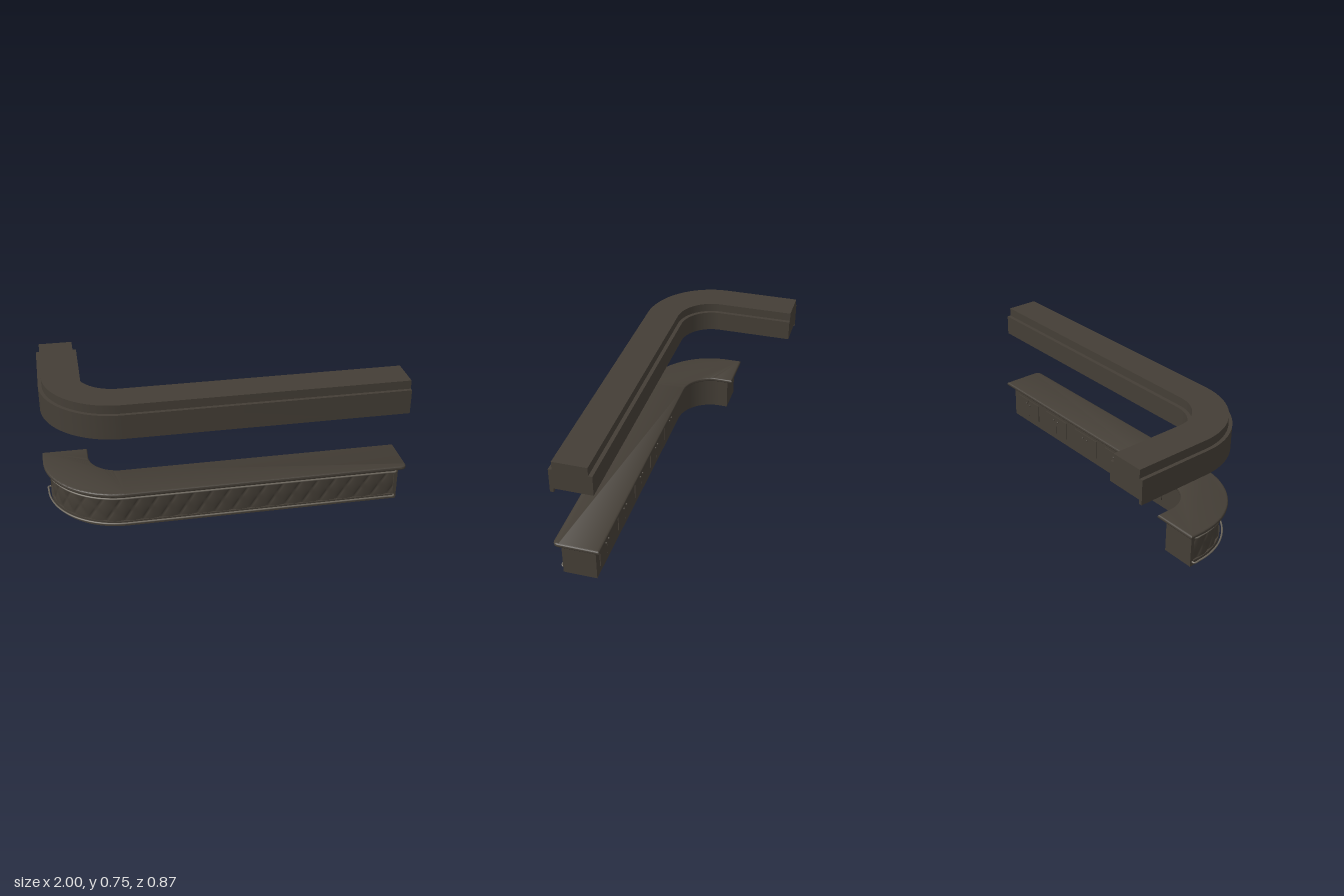
import * as THREE from 'three';
import { toCreasedNormals } from 'three/addons/utils/BufferGeometryUtils.js';

const CX = -0.567; // centre of the bend is (CX, 0)
const ARC = 0.39 * Math.PI / 2;

// L-shaped outline between two radii, extruded upwards from y0 to y1
function band(rIn, rOut, y0, y1, xEnd, zEnd, { corner = 0, bevel = 0 } = {}) {
  const i = rIn + bevel, o = rOut - bevel, x = xEnd - bevel, e = -(zEnd + bevel);
  const s = new THREE.Shape();
  s.moveTo(x - corner, -o);
  s.lineTo(CX, -o);
  s.absarc(CX, 0, o, -Math.PI / 2, -Math.PI, true);
  s.lineTo(CX - o, e);
  s.lineTo(CX - i, e);
  s.lineTo(CX - i, 0);
  s.absarc(CX, 0, i, Math.PI, Math.PI * 1.5, false);
  s.lineTo(x, -i);
  s.lineTo(x, -o + corner);
  if (corner) s.quadraticCurveTo(x, -o, x - corner, -o);
  const g = new THREE.ExtrudeGeometry(s, {
    depth: y1 - y0 - 2 * bevel, curveSegments: 32, bevelEnabled: bevel > 0,
    bevelSize: bevel, bevelThickness: bevel, bevelSegments: 4,
  });
  g.rotateX(-Math.PI / 2).translate(0, y0 + bevel, 0);
  return toCreasedNormals(g, 0.6);
}

// Point on the bent front at distance t from the short arm's end
function frontPoint(r, t, y, zEnd) {
  const arm = -zEnd;
  if (t < arm) return new THREE.Vector3(CX - r, y, zEnd + t);
  if (t < arm + ARC) {
    const a = (t - arm) / ARC * Math.PI / 2;
    return new THREE.Vector3(CX - r * Math.cos(a), y, r * Math.sin(a));
  }
  return new THREE.Vector3(CX + t - arm - ARC, y, r);
}

export function createModel() {
  const model = new THREE.Group();
  const wood = new THREE.MeshStandardMaterial({ color: 0x443e36 });
  wood.name = 'dark wood';
  const metal = new THREE.MeshStandardMaterial({ color: 0x6b655b });
  metal.name = 'rail metal';
  const add = (name, geometry, material = wood, parent = model) => {
    const m = new THREE.Mesh(geometry, material);
    m.name = name;
    parent.add(m);
    return m;
  };

  // Counter: core, framed front and rounded worktop
  const counter = new THREE.Group();
  counter.name = 'counter';
  model.add(counter);
  const X = 0.96, Z = -0.055;
  add('counterBody', band(0.212, 0.388, 0, 0.203, X, Z), wood, counter);
  add('plinth', band(0.386, 0.4, 0, 0.03, X, Z), wood, counter);
  add('topFrame', band(0.386, 0.4, 0.18, 0.203, X, Z), wood, counter);
  add('rightPost', new THREE.BoxGeometry(0.014, 0.2, 0.02), wood, counter).position.set(CX - 0.393, 0.1, Z + 0.01);
  add('leftPost', new THREE.BoxGeometry(0.02, 0.2, 0.014), wood, counter).position.set(X - 0.01, 0.1, 0.393);
  add('worktop', band(0.178, 0.433, 0.202, 0.225, 1, -0.09, { corner: 0.025, bevel: 0.01 }), wood, counter);

  // Quilted front panel following the bend
  const length = -Z + ARC + X - CX;
  const quilt = new THREE.PlaneGeometry(1, 1, 264, 12);
  const p = quilt.attributes.position;
  for (let k = 0; k < p.count; k++) {
    const u = p.getX(k) + 0.5, v = p.getY(k) + 0.5;
    const n = u * 22;
    const puff = Math.abs(Math.cos(Math.PI * (n + v) / 2 * 2) * Math.cos(Math.PI * (n - v)));
    const q = frontPoint(0.389 + 0.008 * Math.sqrt(puff), u * length, 0.028 + v * 0.154, Z);
    p.setXYZ(k, q.x, q.y, q.z);
  }
  quilt.computeVertexNormals();
  add('quiltedFront', quilt, wood, counter);

  // Foot rail and upper rail, returning into the front at both ends
  for (const [name, y] of [['footRail', 0.025], ['upperRail', 0.185]]) {
    const pts = [frontPoint(0.392, 0.015, y, Z)];
    for (let k = 0; k <= 60; k++) {
      pts.push(frontPoint(0.414, 0.018 + (length - 0.036) * k / 60, y, Z));
    }
    pts.push(frontPoint(0.392, length - 0.015, y, Z));
    add(name, new THREE.TubeGeometry(new THREE.CatmullRomCurve3(pts), 240, 0.005, 8), metal, counter);
  }

  // Five double cupboards with knobs along the back
  for (let c = 0; c < 5; c++) {
    const cupboard = new THREE.Group();
    cupboard.name = 'cupboard';
    cupboard.position.set(0.806 - c * 0.291, 0, 0.21);
    counter.add(cupboard);
    for (const side of [-1, 1]) {
      add('cupboardDoor', new THREE.BoxGeometry(0.104, 0.115, 0.006), wood, cupboard)
        .position.set(side * 0.0527, 0.102, 0);
      add('doorKnob', new THREE.SphereGeometry(0.006, 12, 8), wood, cupboard)
        .position.set(side * 0.02, 0.133, -0.007);
    }
  }

  // Overhead canopy: body, lower lip on the outside and set-back crown
  const canopy = new THREE.Group();
  canopy.name = 'canopy';
  model.add(canopy);
  add('canopyBody', band(0.19, 0.42, 0.58, 0.696, 0.985, -0.433), wood, canopy);
  add('canopyLip', band(0.4, 0.42, 0.557, 0.58, 0.985, -0.433), wood, canopy);
  add('canopyCrown', band(0.212, 0.4, 0.696, 0.745, 0.985, -0.433), wood, canopy);

  return model;
}
